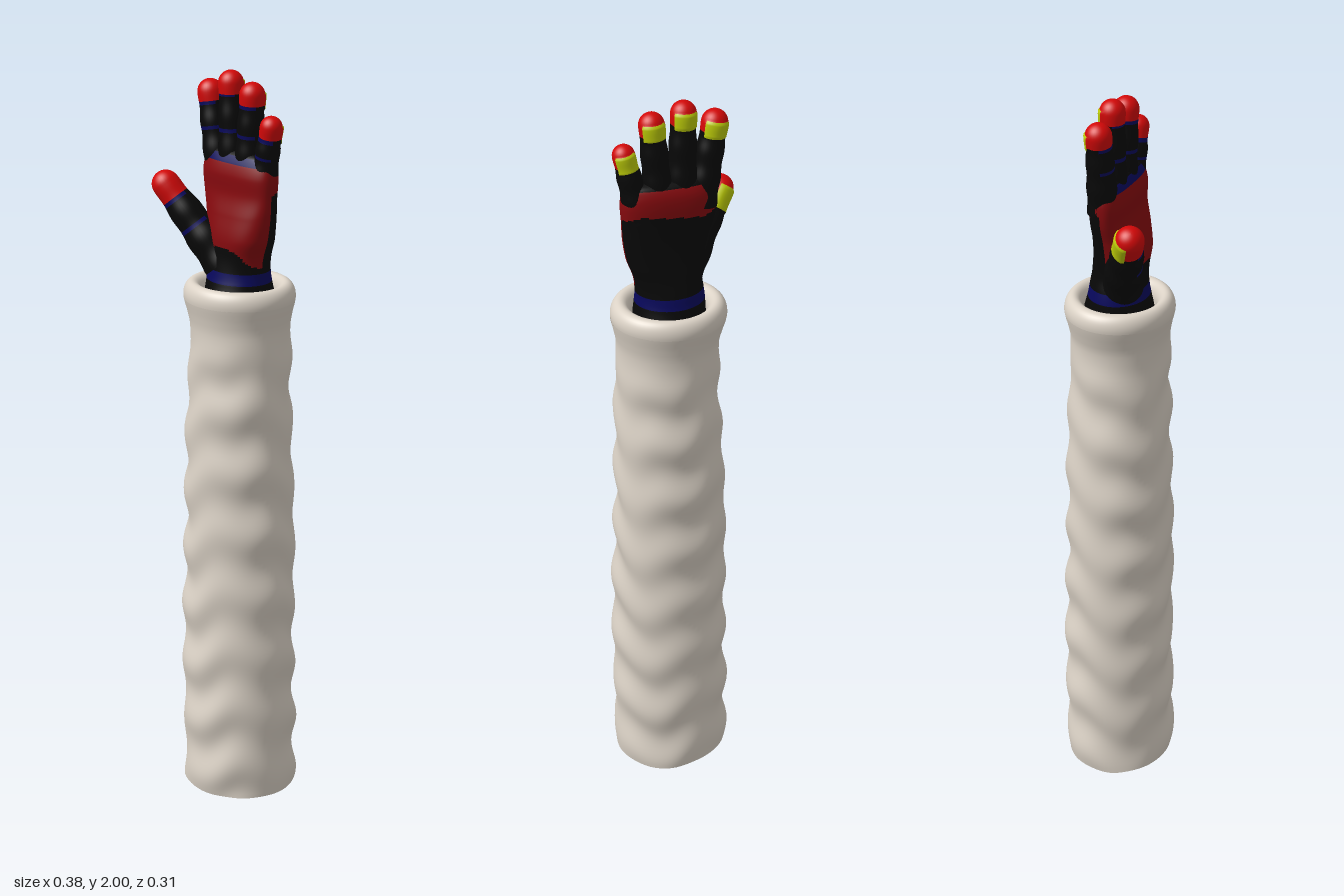
import * as THREE from 'three';

const mat = (name, color, extra = {}) => {
  const m = new THREE.MeshStandardMaterial({ color, ...extra });
  m.name = name;
  return m;
};

// Closed-ring loft: point(row, angle) gives a vertex, paint(row, angle) a material index.
// Angle 0 faces +z and grows towards +x.
function loft(name, rows, seg, point, materials, paint = () => 0) {
  const pos = [], faces = materials.map(() => []);
  const step = (Math.PI * 2) / seg;
  rows.forEach((row, i) => {
    for (let j = 0; j < seg; j++) {
      pos.push(...point(row, j * step));
      if (i === rows.length - 1) continue;
      const a = i * seg + j, b = i * seg + ((j + 1) % seg);
      faces[paint((row + rows[i + 1]) / 2, (j + 0.5) * step)].push(a, b, b + seg, a, b + seg, a + seg);
    }
  });
  const geo = new THREE.BufferGeometry();
  geo.setAttribute('position', new THREE.Float32BufferAttribute(pos, 3));
  geo.setIndex(faces.flat());
  let start = 0;
  faces.forEach((f, k) => {
    if (f.length) geo.addGroup(start, f.length, k);
    start += f.length;
  });
  geo.computeVertexNormals();
  const mesh = new THREE.Mesh(geo, materials);
  mesh.name = name;
  return mesh;
}

const range = (from, to, n) => Array.from({ length: n + 1 }, (_, i) => from + ((to - from) * i) / n);

// Smooth interpolation of a table whose first column is the key
function sample(table, key) {
  let i = 0;
  while (i < table.length - 2 && key > table[i + 1][0]) i++;
  const p = [i - 1, i, i + 1, i + 2].map(k => table[THREE.MathUtils.clamp(k, 0, table.length - 1)]);
  const t = (key - p[1][0]) / (p[2][0] - p[1][0]);
  return p[1].map((_, c) => {
    const m1 = (p[2][c] - p[0][c]) / 2, m2 = (p[3][c] - p[1][c]) / 2;
    const t2 = t * t, t3 = t2 * t;
    return (2 * t3 - 3 * t2 + 1) * p[1][c] + (t3 - 2 * t2 + t) * m1 + (3 * t2 - 2 * t3) * p[2][c] + (t3 - t2) * m2;
  });
}

export function createModel() {
  const model = new THREE.Group();
  model.name = 'glovedArm';
  const cloth = mat('sleeve cloth', 0xdbd2c6, { side: THREE.DoubleSide });
  const black = mat('glove black', 0x080808);
  const blue = mat('glove navy', 0x08085c);
  const palmRed = mat('palm dark red', 0x860a0e);
  const tipRed = mat('fingertip red', 0xd20808);
  const nailYellow = mat('nail yellow', 0xbccb08);

  // Sleeve: wrinkled tube, open at the bottom, flaring into the rim
  const sleeveTable = [
    // y, centre x, radius x, radius z
    [0, 0.02, 0.16, 0.148], [0.6, 0.02, 0.157, 0.145], [1.0, 0.02, 0.146, 0.139],
    [1.26, 0.024, 0.137, 0.132], [1.34, 0.023, 0.136, 0.13], [1.38, 0.021, 0.145, 0.136], [1.41, 0.02, 0.153, 0.143],
  ];
  model.add(loft('sleeve', range(0, 1.41, 110), 72, (y, a) => {
    const [, cx, rx, rz] = sample(sleeveTable, y);
    const fade = THREE.MathUtils.smoothstep(1.37 - y, 0, 0.2);
    const phase = ((y - 0.036 * Math.sin(2 * a) - 0.018 * Math.sin(a) + 0.014 * Math.sin(5 * a + y * 4)) * Math.PI * 2) / 0.175;
    const depth = 0.0055 + 0.002 * Math.sin(3 * a + 5 * y);
    const fold = fade * (depth * Math.sin(phase) + 0.002 * Math.sin(3 * a + 9 * y));
    return [cx + (rx + fold) * Math.sin(a), y, (rz + fold) * Math.cos(a)];
  }, [cloth]));

  // Rolled rim, turning over into a short lining
  model.add(loft('sleeveRim', [...range(-0.25, Math.PI, 20), 4], 72, (t, a) => {
    const lining = t > 3.5;
    const off = lining ? -0.025 : 0.0265 * Math.cos(t);
    const y = lining ? 1.3 : 1.418 + 0.037 * Math.sin(t);
    return [0.02 + (0.1265 + off) * Math.sin(a), y, (0.12 + off * 0.9) * Math.cos(a)];
  }, [cloth]));

  // Palm and wrist
  const palmTable = [
    // y, centre x, half width, depth to front, depth to back
    [1.28, 0.019, 0.094, 0.09, 0.095], [1.41, 0.019, 0.096, 0.09, 0.094], [1.46, 0.018, 0.093, 0.079, 0.081],
    [1.49, 0.019, 0.09, 0.073, 0.075], [1.53, 0.024, 0.089, 0.068, 0.066], [1.58, 0.03, 0.1, 0.068, 0.057],
    [1.64, 0.028, 0.112, 0.056, 0.053], [1.69, 0.021, 0.122, 0.044, 0.053], [1.74, 0.02, 0.126, 0.044, 0.055],
    [1.77, 0.02, 0.121, 0.036, 0.051], [1.795, 0.02, 0.108, 0.022, 0.036], [1.805, 0.02, 0.001, 0.001, 0.001],
  ];
  model.add(loft('palm', range(1.28, 1.805, 105), 56, (y, a) => {
    const [, cx, w, front, back] = sample(palmTable, y);
    const s = Math.sin(a), c = Math.cos(a);
    const power = 1 - 0.25 * THREE.MathUtils.smoothstep(y, 1.48, 1.58);
    return [
      cx + w * Math.sign(s) * Math.abs(s) ** power, y,
      (c > 0 ? front : back) * Math.sign(c) * Math.abs(c) ** power,
    ];
  }, [black, blue, palmRed], (y, a) => {
    const front = Math.cos(a) > 0;
    if (y > 1.46 && y < 1.492) return 1;
    if (front && y > 1.53 + 0.025 * Math.cos(2 * a) && y < 1.772) return 2;
    if (front && y >= 1.772 && y < 1.79) return 1;
    if (!front && y > 1.71 + 0.008 * Math.sin(3 * a) && y < 1.786) return 2;
    return 0;
  }));

  // Digits: rounded tubes along local y, with coloured tip, raised nail and front bands
  function digit(name, base, tip, r, baseR, cap, joint, nailAngle) {
    const from = new THREE.Vector3(...base), dir = new THREE.Vector3(...tip).sub(from);
    const len = dir.length(), neck = len - r;
    const rows = [...range(0, neck, 48), ...range(0, Math.PI / 2, 12).slice(1).map(t => neck + r * Math.sin(t))];
    const nailTop = len - r * 0.75, nailBottom = len - cap - 0.011;
    const onNail = (s, a) => Math.cos(a - nailAngle) > 0.5 && s > nailBottom && s < nailTop;
    const mesh = loft(name, rows, 32, (s, a) => {
      const k = Math.min(s / neck, 1);
      const body = THREE.MathUtils.lerp(baseR, r, k);
      const joints = 1 - 0.035 * (1 - Math.cos(k * Math.PI * 6));
      const round = s <= neck ? body * joints : r * Math.sqrt(Math.max(1e-6, 1 - ((s - neck) / r) ** 2));
      const rad = round + (onNail(s, a) ? 0.003 : 0);
      return [rad * Math.sin(a), s, rad * Math.cos(a)];
    }, [black, blue, tipRed, nailYellow], (s, a) => {
      if (onNail(s, a)) return 3;
      if (s > len - cap) return 2;
      const band = s > len - cap - 0.009 || Math.abs(s - joint) < 0.004;
      return band && Math.cos(a - nailAngle) < -0.4 ? 1 : 0;
    });
    mesh.position.copy(from);
    mesh.quaternion.setFromUnitVectors(new THREE.Vector3(0, 1, 0), dir.normalize());
    model.add(mesh);
  }
  const back = Math.PI;
  digit('indexFinger', [-0.064, 1.72, -0.008], [-0.105, 1.967, -0.003], 0.034, 0.041, 0.057, 0.125, back);
  digit('middleFinger', [-0.012, 1.72, -0.008], [-0.019, 2.0, -0.003], 0.033, 0.041, 0.057, 0.13, back);
  digit('ringFinger', [0.046, 1.72, -0.008], [0.067, 1.98, -0.003], 0.033, 0.04, 0.057, 0.125, back);
  digit('littleFinger', [0.098, 1.7, -0.008], [0.143, 1.904, -0.003], 0.029, 0.038, 0.057, 0.1, back);
  digit('thumb', [-0.018, 1.5, 0.022], [-0.172, 1.726, 0.117], 0.037, 0.057, 0.08, 0.12, back + 0.7);

  return model;
}
